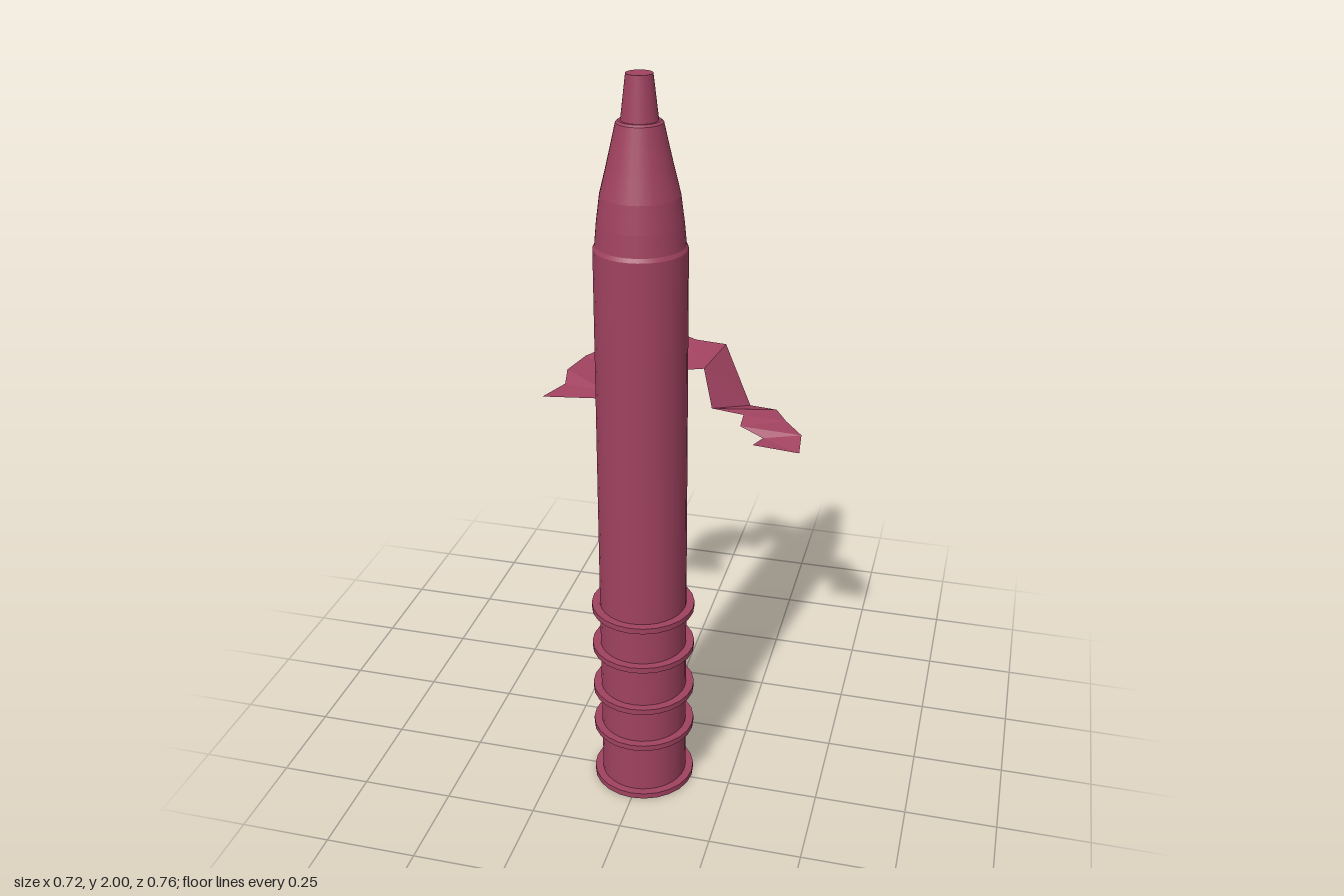
import * as THREE from 'three';

const material = new THREE.MeshStandardMaterial({ color: 0xa04260 });
const ribbonMaterial = new THREE.MeshStandardMaterial({ color: 0xa04260, flatShading: true, side: THREE.DoubleSide });

// Ribbon cross-sections: outer x, y, z, then inner x, y, z
const sections = [
  [-0.36, 1.02, -0.022, -0.177, 1.035, -0.02],
  [-0.315, 1.035, -0.09, -0.173, 1.04, -0.052],
  [-0.325, 1.055, -0.145, -0.218, 1.045, -0.11],
  [-0.30, 1.06, -0.244, -0.17, 1.045, -0.152],
  [-0.232, 1.083, -0.289, -0.155, 1.065, -0.205],
  [-0.145, 1.085, -0.298, -0.09, 1.06, -0.196],
  [-0.094, 1.112, -0.384, -0.056, 1.08, -0.252],
  [0.005, 1.098, -0.352, 0.005, 1.06, -0.214],
  [0.09, 1.085, -0.37, 0.055, 1.06, -0.235],
  [0.18, 0.93, -0.30, 0.09, 0.96, -0.188],
  [0.262, 0.935, -0.278, 0.178, 0.94, -0.21],
  [0.298, 0.925, -0.23, 0.178, 0.925, -0.165],
  [0.353, 0.915, -0.17, 0.248, 0.905, -0.145],
  [0.36, 0.895, -0.096, 0.228, 0.905, -0.095],
];

// Surface of revolution, with corners kept sharp between bands
function lathe(name, profile, sides) {
  const group = new THREE.Group();
  group.name = name;
  for (let i = 0; i < profile.length - 1; i++) {
    const band = [profile[i], profile[i + 1]].map(([r, y]) => new THREE.Vector2(r, y));
    const mesh = new THREE.Mesh(new THREE.LatheGeometry(band, sides), material);
    mesh.name = `${name}Band`;
    group.add(mesh);
  }
  return group;
}

function ribbonGeometry() {
  const index = [];
  for (let i = 0; i < sections.length - 1; i++) {
    const a = 2 * i;
    index.push(a, a + 1, a + 2, a + 1, a + 3, a + 2);
  }
  const geometry = new THREE.BufferGeometry();
  geometry.setAttribute('position', new THREE.Float32BufferAttribute(sections.flat(), 3));
  geometry.setIndex(index);
  geometry.computeVertexNormals();
  return geometry;
}

export function createModel() {
  const model = new THREE.Group();
  model.name = 'penWithShaving';

  const pen = new THREE.Group();
  pen.name = 'pen';
  pen.position.z = 0.24;
  model.add(pen);

  // Barrel, tapering shoulder and blunt tip
  pen.add(lathe('barrel', [[0, 0], [0.118, 0], [0.118, 1.575], [0.113, 1.585]], 32));
  pen.add(lathe('shoulder', [[0.113, 1.585], [0.108, 1.64], [0.099, 1.71], [0.083, 1.775],
    [0.068, 1.84], [0.058, 1.885], [0.052, 1.89], [0.046, 1.89]], 32));
  pen.add(lathe('tip', [[0.046, 1.89], [0.033, 2], [0, 2]], 32));

  // Grip rings
  for (const y of [0.009, 0.174, 0.295, 0.431, 0.556]) {
    const ring = new THREE.Mesh(new THREE.CylinderGeometry(0.14, 0.14, 0.016, 24), material);
    ring.name = 'gripRing';
    ring.position.y = y;
    pen.add(ring);
  }

  // Curled, jagged strip behind the pen
  const ribbon = new THREE.Mesh(ribbonGeometry(), ribbonMaterial);
  ribbon.name = 'curledShaving';
  model.add(ribbon);

  return model;
}
